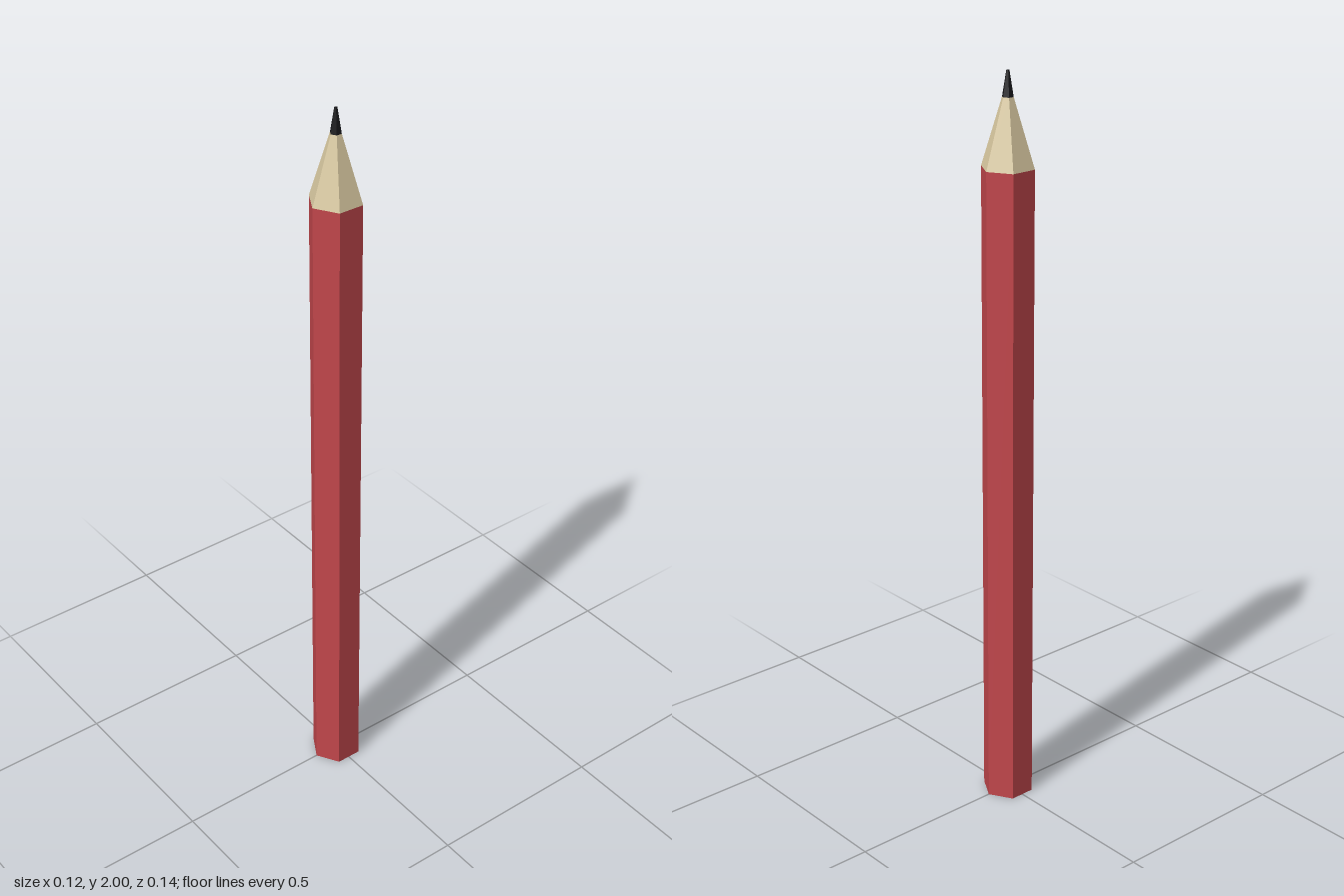
import * as THREE from 'three';

const SIDES = 6;
const BODY_R = 0.07, CORE_R = 0.015;
const WOOD_Y = 1.76, LEAD_Y = 1.935, TOP_Y = 2;

const material = (color) => new THREE.MeshStandardMaterial({ color, flatShading: true });

export function createModel() {
  const group = new THREE.Group();
  group.name = 'pencil';
  const paint = material(0xc2474c), wood = material(0xd8c8a0), lead = material(0x17171a);

  const add = (name, geometry, mat) => {
    const mesh = new THREE.Mesh(geometry, mat);
    mesh.name = name;
    group.add(mesh);
  };

  // Hexagonal section between two heights, with corners on the z axis
  const section = (rTop, rBottom, y0, y1, open) =>
    new THREE.CylinderGeometry(rTop, rBottom, y1 - y0, SIDES, 1, open).translate(0, (y0 + y1) / 2, 0);

  add('paintedBody', section(BODY_R, BODY_R, 0, WOOD_Y, true), paint);
  add('sharpenedWood', section(CORE_R, BODY_R, WOOD_Y, LEAD_Y, true), wood);
  add('leadTip', section(0.004, CORE_R, LEAD_Y, TOP_Y, false), lead);

  // Flat end: bare wood around the exposed core
  add('woodEnd', new THREE.RingGeometry(CORE_R, BODY_R, SIDES, 1, Math.PI / 2).rotateX(Math.PI / 2), wood);
  add('leadEnd', new THREE.CircleGeometry(CORE_R, SIDES, Math.PI / 2).rotateX(Math.PI / 2), lead);

  return group;
}
